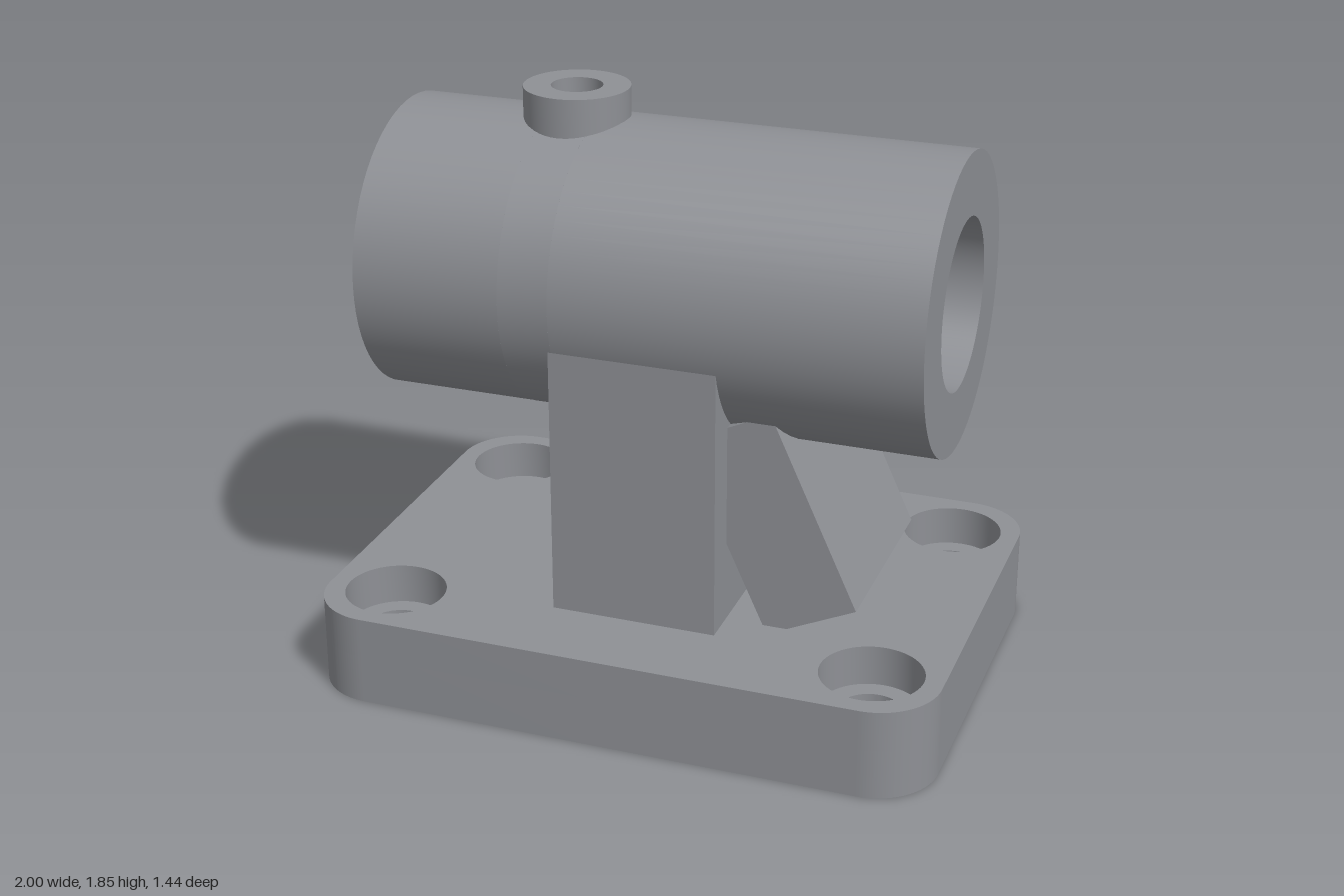
import * as THREE from 'three';
import { toCreasedNormals } from 'three/addons/utils/BufferGeometryUtils.js';

export function createModel() {
  const model = new THREE.Group();
  const castGrey = new THREE.MeshStandardMaterial({ color: 0x8e9095 });

  const add = (name, geometry, parent = model) => {
    const mesh = new THREE.Mesh(toCreasedNormals(geometry, 0.6), castGrey);
    mesh.name = name;
    parent.add(mesh);
    return mesh;
  };
  const circle = (x, y, r) => new THREE.Path().absarc(x, y, r, 0, Math.PI * 2, true);
  const extrude = (shape, depth) =>
    new THREE.ExtrudeGeometry(shape, { depth, bevelEnabled: false, curveSegments: 32 });

  // Base plate: rounded rectangle in two layers, so the holes can step
  const W = 1, D = 0.72, R = 0.2;
  const plateShape = (holeRadius) => {
    const s = new THREE.Shape();
    s.absarc(W - R, D - R, R, 0, Math.PI / 2);
    s.absarc(R - W, D - R, R, Math.PI / 2, Math.PI);
    s.absarc(R - W, R - D, R, Math.PI, Math.PI * 1.5);
    s.absarc(W - R, R - D, R, Math.PI * 1.5, Math.PI * 2);
    s.closePath();
    for (const x of [-0.78, 0.78])
      for (const z of [-0.5, 0.5]) s.holes.push(circle(x, z, holeRadius));
    return s;
  };
  const step = 0.16, plateTop = 0.29;
  const lower = plateShape(0.1);
  // Rectangular pocket in the underside
  lower.holes.push(new THREE.Path([
    new THREE.Vector2(-0.62, -0.39), new THREE.Vector2(-0.62, 0.39),
    new THREE.Vector2(0.62, 0.39), new THREE.Vector2(0.62, -0.39),
  ]));
  add('basePlateLower', extrude(lower, step).rotateX(-Math.PI / 2));
  add('basePlateUpper', extrude(plateShape(0.16), plateTop - step)
    .rotateX(-Math.PI / 2).translate(0, step, 0));

  // Upright column, its flat top showing inside the bore
  add('column', new THREE.BoxGeometry(0.53, 1.11, 0.885).translate(0, 0.755, 0));

  // Slanted brace between the barrel and the plate
  const brace = new THREE.Shape([
    new THREE.Vector2(0.398, 0.261), new THREE.Vector2(0.68, 0.39),
    new THREE.Vector2(0.40, 1.0), new THREE.Vector2(0.118, 0.871),
  ]);
  add('brace', extrude(brace, 0.66).translate(0, 0, -0.33));

  // Barrel along x, with a slot under the boss for the oil hole
  const outer = 0.465, inner = 0.266, half = 0.89;
  const bossX = -0.335, bossR = 0.165, holeR = 0.08;
  const barrel = new THREE.Group();
  barrel.name = 'barrel';
  barrel.position.y = 1.294;
  model.add(barrel);

  const ring = new THREE.Shape().absarc(0, 0, outer, 0, Math.PI * 2, false);
  ring.holes.push(circle(0, 0, inner));
  const gap = Math.asin(0.31);
  const from = Math.PI / 2 + gap, to = Math.PI * 2.5 - gap;
  const sector = new THREE.Shape();
  sector.absarc(0, 0, outer, from, to, false);
  sector.absarc(0, 0, inner, to, from, true);
  sector.closePath();

  const section = (name, shape, x0, x1) =>
    add(name, extrude(shape, x1 - x0).rotateY(Math.PI / 2).translate(x0, 0, 0), barrel);
  section('barrelRightEnd', ring, -half, bossX - holeR);
  section('barrelSlotted', sector, bossX - holeR, bossX + holeR);
  section('barrelLeftEnd', ring, bossX + holeR, half);

  // Oil boss: hollow cylinder whose foot follows the bore
  const top = 0.556;
  const profile = [[holeR, 0], [bossR, 0], [bossR, top], [holeR, top], [holeR, 0]]
    .map(([r, y]) => new THREE.Vector2(r, y));
  const boss = new THREE.LatheGeometry(profile, 48);
  const p = boss.attributes.position;
  for (let i = 0; i < p.count; i++)
    if (p.getY(i) < 0.1) p.setY(i, Math.sqrt(inner ** 2 - p.getZ(i) ** 2));
  add('oilBoss', boss, barrel).position.x = bossX;

  return model;
}
